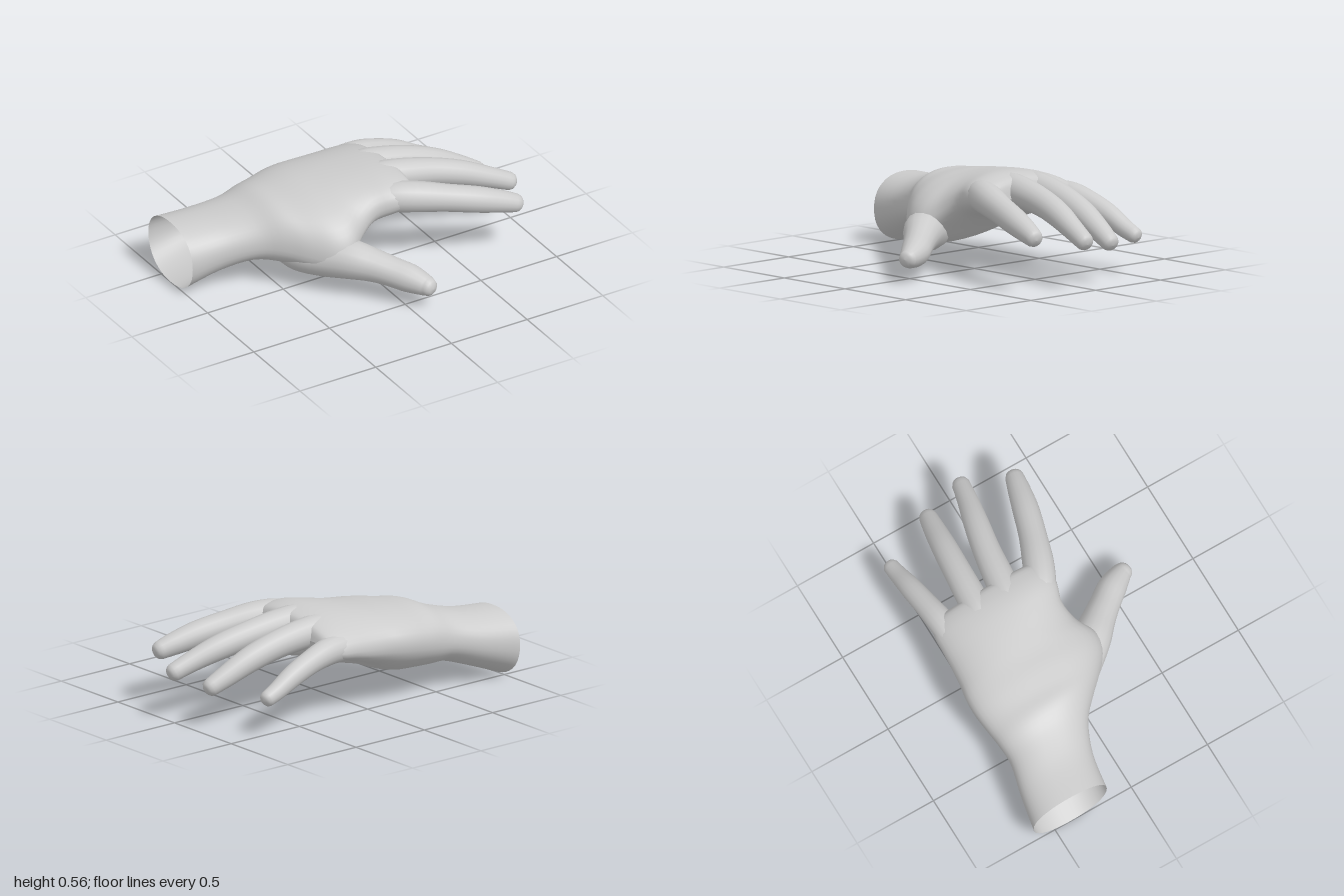
import * as THREE from 'three';

const material = new THREE.MeshStandardMaterial({ color: 0xcccccc, side: THREE.DoubleSide });

// Catmull-Rom resampling of rows of numbers
function resample(rows, steps) {
  const out = [], last = rows.length - 1;
  for (let k = 0; k <= last * steps; k++) {
    const i = Math.min(Math.floor(k / steps), last - 1), t = k / steps - i;
    const a = rows[Math.max(i - 1, 0)], b = rows[i], c = rows[i + 1], d = rows[Math.min(i + 2, last)];
    out.push(b.map((_, n) => 0.5 * (2 * b[n] + (c[n] - a[n]) * t
      + (2 * a[n] - 5 * b[n] + 4 * c[n] - d[n]) * t * t
      + (3 * b[n] - a[n] - 3 * c[n] + d[n]) * t * t * t)));
  }
  return out;
}

// Closed rings of points joined into one smooth skin
function skin(name, rings) {
  const n = rings[0].length, index = [];
  for (let i = 0; i < rings.length - 1; i++) {
    for (let j = 0; j < n; j++) {
      const a = i * n + j, b = i * n + (j + 1) % n;
      index.push(a, a + n, b, a + n, b + n, b);
    }
  }
  const geometry = new THREE.BufferGeometry().setFromPoints(rings.flat());
  geometry.setIndex(index);
  geometry.computeVertexNormals();
  const mesh = new THREE.Mesh(geometry, material);
  mesh.name = name;
  return mesh;
}

// Forearm and palm section: x, back z, front z, top y, bottom y, back edge y, front edge y,
// how far the top and the bottom rise towards the front edge, and the hollow of the palm
function palmRing([x, z0, z1, top, bottom, edge0, edge1, topRoll, bottomRoll, hollow], sides = 40) {
  const ring = [];
  for (let j = 0; j < sides; j++) {
    const a = j / sides * Math.PI * 2;
    const c = Math.sign(Math.cos(a)) * Math.abs(Math.cos(a)) ** 0.9;
    const s = Math.sign(Math.sin(a)) * Math.abs(Math.sin(a)) ** 0.9;
    const edge = THREE.MathUtils.lerp(edge0, edge1, (c + 1) / 2);
    const low = bottom + bottomRoll * c + hollow * (1 - c * c);
    const y = edge + s * (s > 0 ? top + topRoll * c - edge : edge - low);
    ring.push(new THREE.Vector3(x, y, (z0 + z1) / 2 + c * (z1 - z0) / 2));
  }
  return ring;
}

// Finger along a path of x, y, z, radius, with a blunt rounded tip
function finger(name, path, sides = 16) {
  const rows = resample(path, 4);
  const points = rows.map(r => new THREE.Vector3(r[0], r[1], r[2]));
  const up = new THREE.Vector3(0, 1, 0);
  const ringAt = (p, tangent, r) => {
    const side = new THREE.Vector3().crossVectors(tangent, up).normalize();
    const top = new THREE.Vector3().crossVectors(side, tangent);
    return Array.from({ length: sides }, (_, j) => {
      const a = j / sides * Math.PI * 2;
      return p.clone().addScaledVector(side, Math.cos(a) * r).addScaledVector(top, Math.sin(a) * r);
    });
  };
  const tangents = points.map((_, i) =>
    points[Math.min(i + 1, points.length - 1)].clone().sub(points[Math.max(i - 1, 0)]).normalize());
  const rings = points.map((p, i) => ringAt(p, tangents[i], rows[i][3]));
  const end = points.length - 1, r = rows[end][3];
  for (const [ahead, scale] of [[0.35, 0.85], [0.58, 0.55], [0.65, 0.01]]) {
    rings.push(ringAt(points[end].clone().addScaledVector(tangents[end], ahead * r), tangents[end], r * scale));
  }
  return skin(name, rings);
}

export function createModel() {
  const hand = new THREE.Group();
  hand.name = 'hand';

  // Forearm stump (open at the cut), wrist, and palm up to the webs between the fingers
  const sections = [
    [-1.0, -0.64, -0.16, 0.39, 0.0, 0.21, 0.2, 0, 0, 0],
    [-0.8, -0.605, -0.13, 0.4, 0.075, 0.24, 0.24, 0, 0, 0],
    [-0.62, -0.565, -0.055, 0.44, 0.13, 0.28, 0.27, 0, 0, 0],
    [-0.5, -0.57, 0.05, 0.49, 0.125, 0.31, 0.27, 0, 0, 0],
    [-0.4, -0.585, 0.15, 0.5, 0.112, 0.33, 0.25, -0.01, -0.02, 0],
    [-0.29, -0.6, 0.24, 0.515, 0.112, 0.35, 0.23, -0.02, -0.03, 0],
    [-0.19, -0.6, 0.255, 0.525, 0.14, 0.36, 0.25, -0.02, -0.02, 0.015],
    [-0.09, -0.585, 0.185, 0.54, 0.19, 0.365, 0.33, 0, 0, 0.03],
    [0.02, -0.575, 0.155, 0.553, 0.24, 0.37, 0.41, 0.02, 0.02, 0.035],
    [0.13, -0.57, 0.185, 0.56, 0.28, 0.38, 0.44, 0.03, 0.02, 0.03],
    [0.22, -0.565, 0.195, 0.55, 0.31, 0.385, 0.44, 0.03, 0.02, 0.02],
    [0.285, -0.54, 0.15, 0.52, 0.35, 0.395, 0.44, 0.03, 0.02, 0.01],
    [0.305, -0.48, 0.06, 0.436, 0.434, 0.42, 0.44, 0, 0, 0],
  ];
  hand.add(skin('palmAndWrist', resample(sections, 4).map(r => palmRing(r))));

  // Fingers, buried in the palm at the knuckles
  hand.add(finger('indexFinger', [
    [0.0, 0.42, 0.02, 0.05], [0.14, 0.448, 0.085, 0.086], [0.28, 0.443, 0.152, 0.09], [0.45, 0.415, 0.217, 0.08],
    [0.62, 0.378, 0.271, 0.076], [0.76, 0.34, 0.308, 0.064], [0.84, 0.315, 0.328, 0.053],
  ]));
  hand.add(finger('middleFinger', [
    [-0.02, 0.44, -0.11, 0.05], [0.15, 0.47, -0.105, 0.086], [0.3, 0.463, -0.085, 0.089], [0.5, 0.433, -0.055, 0.08],
    [0.68, 0.388, -0.015, 0.073], [0.84, 0.33, 0.025, 0.061], [0.965, 0.278, 0.052, 0.052],
  ]));
  hand.add(finger('ringFinger', [
    [-0.02, 0.43, -0.29, 0.05], [0.16, 0.455, -0.285, 0.088], [0.3, 0.448, -0.275, 0.087], [0.48, 0.415, -0.258, 0.08],
    [0.65, 0.36, -0.238, 0.074], [0.8, 0.29, -0.217, 0.063], [0.905, 0.238, -0.2, 0.052],
  ]));
  hand.add(finger('littleFinger', [
    [-0.02, 0.39, -0.44, 0.04], [0.14, 0.395, -0.475, 0.075], [0.28, 0.395, -0.488, 0.078], [0.42, 0.365, -0.503, 0.069],
    [0.56, 0.315, -0.515, 0.063], [0.68, 0.255, -0.523, 0.053], [0.76, 0.222, -0.528, 0.046],
  ]));

  // Thumb, growing out of its fleshy mound
  hand.add(finger('thumb', [
    [-0.46, 0.23, -0.12, 0.08], [-0.38, 0.208, -0.03, 0.12], [-0.29, 0.205, 0.08, 0.125], [-0.19, 0.212, 0.215, 0.116],
    [-0.1, 0.197, 0.322, 0.097], [-0.028, 0.176, 0.41, 0.087], [0.037, 0.155, 0.492, 0.083], [0.082, 0.14, 0.57, 0.064],
    [0.095, 0.137, 0.605, 0.053],
  ]));

  return hand;
}
